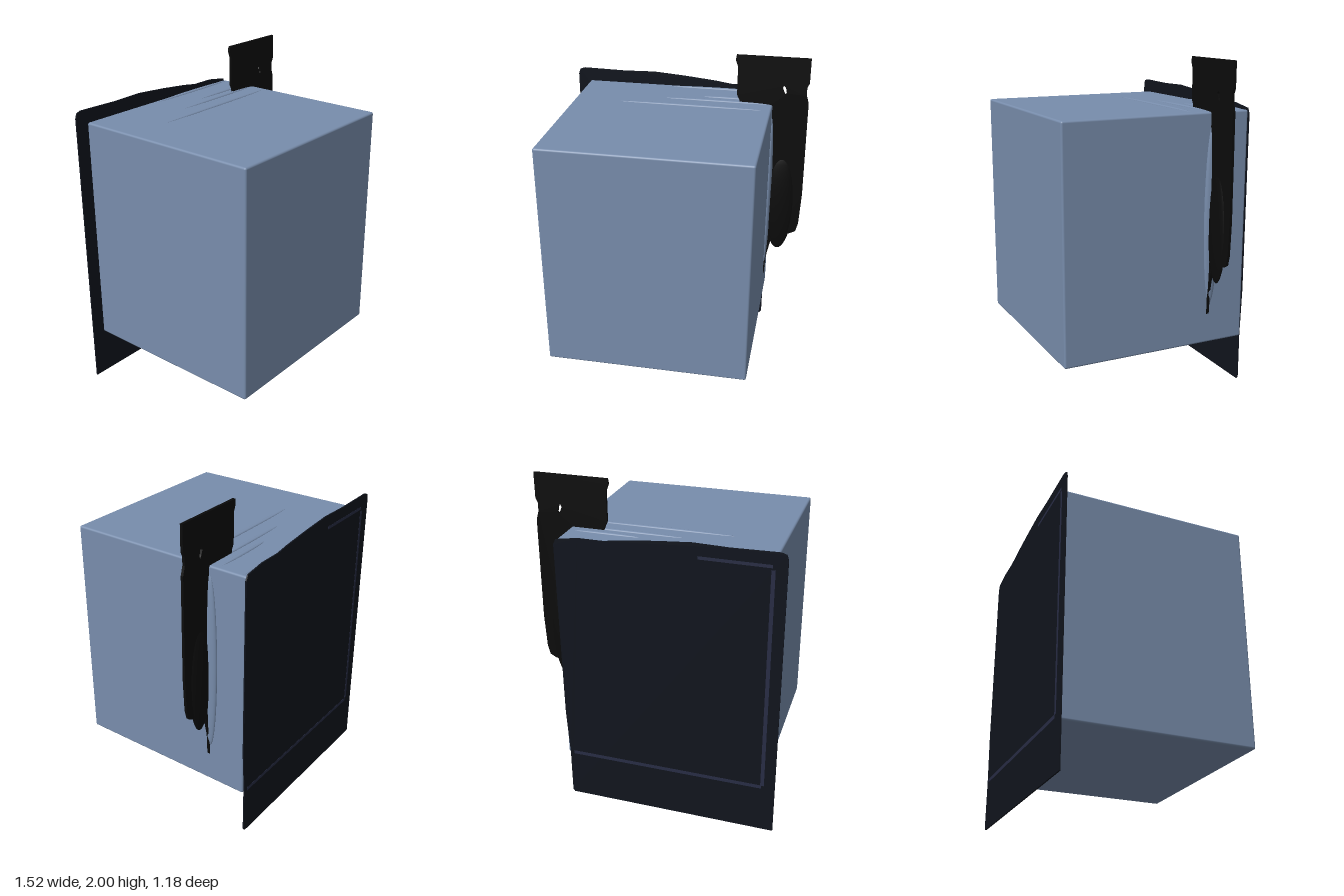
import * as THREE from 'three';
import { RoundedBoxGeometry } from 'three/addons/geometries/RoundedBoxGeometry.js';

const paint = (color) => new THREE.MeshStandardMaterial({ color });

export function createModel() {
  const group = new THREE.Group();
  const blue = paint(0x788dac), navy = paint(0x10141d), black = paint(0x0b0b0b), glow = paint(0x282c44);

  const add = (name, geometry, material, x = 0, y = 0, z = 0) => {
    const mesh = new THREE.Mesh(geometry, material);
    mesh.name = name;
    mesh.position.set(x, y, z);
    group.add(mesh);
    return mesh;
  };
  const sheet = (points, depth, holes = []) => {
    const toPath = (list) => list.map(([x, y]) => new THREE.Vector2(x, y));
    const shape = new THREE.Shape(toPath(points));
    holes.forEach((h) => shape.holes.push(new THREE.Path(toPath(h))));
    return new THREE.ExtrudeGeometry(shape, { depth, bevelEnabled: false });
  };
  // Slim ellipsoid used for ridges and swellings
  const swelling = (name, material, [x, y, z], [rx, ry, rz]) =>
    add(name, new THREE.SphereGeometry(1, 24, 16), material, x, y, z).scale.set(rx, ry, rz);

  // Main block
  add('block', new RoundedBoxGeometry(1.22, 1.40, 1.172, 3, 0.012), blue, -0.07, 1.0, 0.004);

  // Thin back panel with an uneven top edge
  add('backPanel', sheet([
    [-0.76, 0.005], [0.515, 0.005], [0.525, 0.02], [0.525, 0.3], [0.54, 0.6], [0.545, 1.68],
    [0.53, 1.71], [0.40, 1.73], [0.25, 1.73], [0.15, 1.745], [-0.05, 1.765], [-0.25, 1.78],
    [-0.45, 1.775], [-0.72, 1.78], [-0.75, 1.77], [-0.76, 1.74],
  ], 0.008), navy, 0, 0, -0.588);

  // Faint lines where the block edges show through the panel
  add('panelSideLine', new THREE.BoxGeometry(0.022, 1.36, 0.002), glow, -0.685, 1.0, -0.588);
  add('panelLowerLine', new THREE.BoxGeometry(1.18, 0.022, 0.002), glow, -0.09, 0.31, -0.588);
  add('panelUpperLine', new THREE.BoxGeometry(0.4, 0.018, 0.002), glow, -0.48, 1.70, -0.588);

  // Upright fin, pierced near the top and running down the left side
  add('fin', sheet([
    [0.31, 2.0], [0.305, 1.97], [0.32, 1.93], [0.32, 1.75], [0.335, 1.72], [0.34, 1.68],
    [0.50, 1.68], [0.52, 0.6], [0.53, 0.45], [0.545, 0.5], [0.55, 0.62], [0.575, 0.74],
    [0.59, 0.79], [0.62, 0.805], [0.70, 0.82], [0.735, 0.84], [0.75, 0.90], [0.76, 1.1],
    [0.757, 1.72], [0.742, 1.77], [0.742, 1.82], [0.755, 1.85], [0.755, 2.0],
  ], 0.016, [[[0.595, 1.81], [0.602, 1.825], [0.615, 1.815], [0.622, 1.78], [0.615, 1.768], [0.605, 1.785]]]),
  black, 0, 0, -0.348);

  // Thickened fin and its flared root
  swelling('finSwelling', black, [0.62, 1.03, -0.34], [0.09, 0.33, 0.024]);
  swelling('finRoot', blue, [0.54, 1.1, -0.35], [0.025, 0.55, 0.05]);

  // Shallow creases across the top of the block
  for (const [x, z, length] of [[0.2, -0.335, 0.33], [0.05, -0.225, 0.45], [0.3, -0.4, 0.2], [0.2, -0.555, 0.33]]) {
    swelling('topCrease', blue, [x, 1.699, z], [length, 0.01, 0.014]);
  }
  return group;
}
